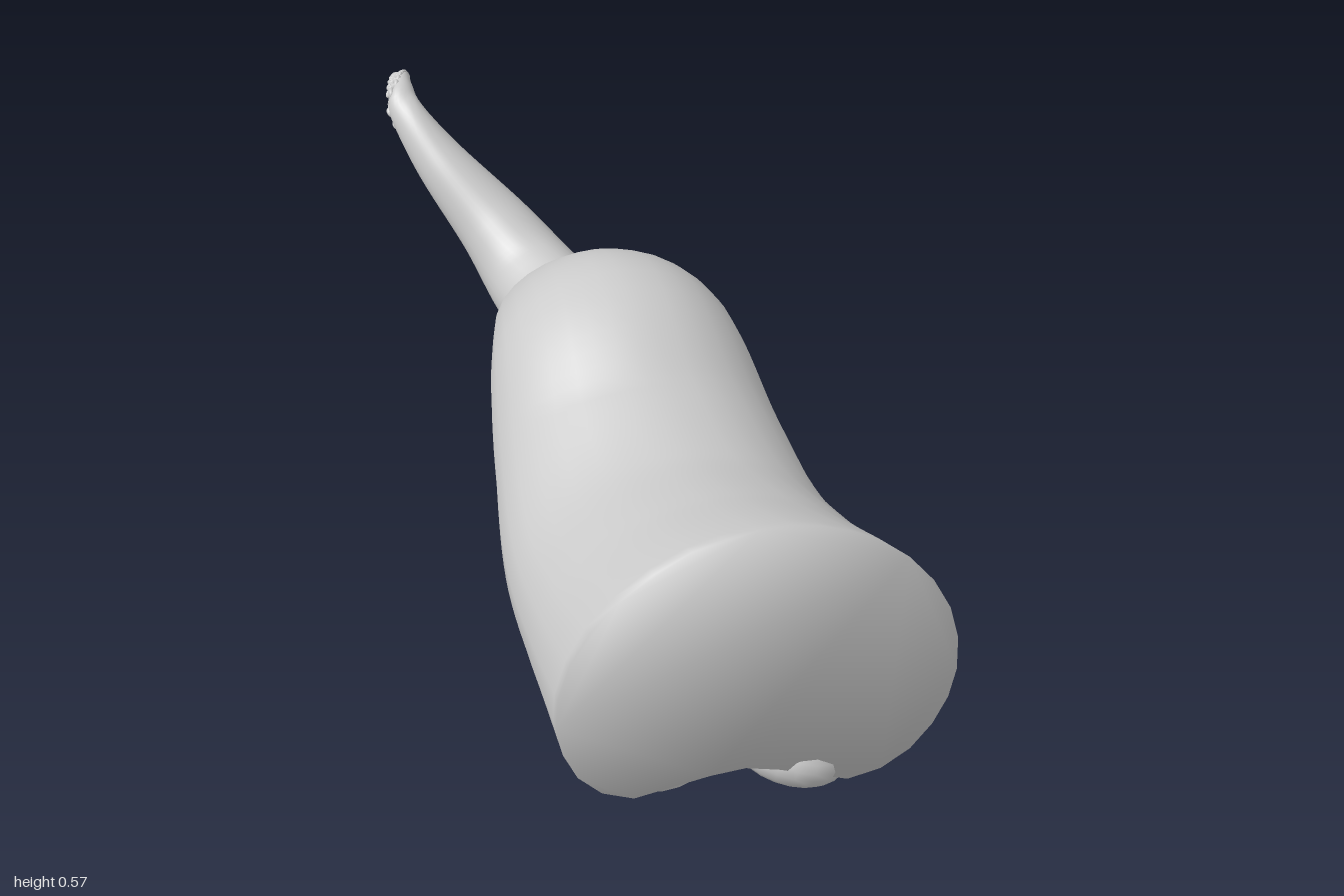
import * as THREE from 'three';

// spine stations: x, y, z, half width, half height, direction the suckers face
const STATIONS = [
  [0.002, 0.293, 1, 0.335, 0.252, -0.13, -1, 0],
  [-0.008, 0.264, 0.8, 0.312, 0.203, -0.1, -1, 0],
  [-0.015, 0.259, 0.6, 0.285, 0.174, -0.05, -1, 0],
  [-0.008, 0.322, 0.4, 0.252, 0.16, 0, -1, 0],
  [0.007, 0.41, 0.2, 0.219, 0.148, 0, -1, 0],
  [0.027, 0.355, 0, 0.177, 0.102, 0, -1, 0],
  [0.067, 0.2, -0.2, 0.137, 0.097, 0, -1, 0],
  [0.095, 0.125, -0.35, 0.11, 0.088, 0, -1, -0.1],
  [0.065, 0.14, -0.5, 0.095, 0.077, 0.1, -0.9, -0.4],
  [0.012, 0.21, -0.6, 0.075, 0.058, 0.2, -0.72, -0.65],
  [-0.07, 0.315, -0.7, 0.052, 0.042, 0.1, -0.6, -0.8],
  [-0.116, 0.395, -0.78, 0.034, 0.031, -0.45, -0.2, -0.8],
  [-0.116, 0.417, -0.83, 0.026, 0.023, -0.75, 0.55, -0.2],
  [-0.1, 0.407, -0.9, 0.017, 0.015, -0.3, 1, 0.1],
  [-0.06, 0.355, -1, 0.002, 0.002, -0.2, 1, 0.1],
];
const track = (pick) => new THREE.CatmullRomCurve3(
  STATIONS.map((s) => new THREE.Vector3(...pick(s))), false, 'catmullrom', 0.5);
const spine = track((s) => s.slice(0, 3));
const sizes = track((s) => [s[3], s[4], 0]);
const facing = track((s) => s.slice(5, 8));
const BACK = new THREE.Vector3(0, 0, -1);

// position, size and axes of the arm at t; the cut end stays upright
function frame(t) {
  const T = BACK.clone().lerp(spine.getTangent(t), Math.min(1, t / 0.12)).normalize();
  const N = facing.getPoint(t);
  N.addScaledVector(T, -N.dot(T)).normalize();
  const S = new THREE.Vector3().crossVectors(N, T); // sideways axis
  const r = sizes.getPoint(t);
  return { P: spine.getPoint(t), N, S, rx: r.x, ry: r.y };
}

// kidney-shaped cross-section, clockwise from the top
function section(count) {
  const half = [[0.25, 0.95], [0.49, 0.83], [0.75, 0.56], [0.93, 0.21], [1, -0.18],
    [0.96, -0.52], [0.82, -0.82], [0.58, -0.99], [0.28, -0.9]];
  const pts = [[0, 1], ...half, [0, -0.83], ...half.map(([x, y]) => [-x, y]).reverse()];
  const loop = new THREE.CatmullRomCurve3(
    pts.map(([x, y]) => new THREE.Vector3(x, y, 0)), true);
  return Array.from({ length: count }, (_, j) => loop.getPoint(j / count));
}

function armGeometry(rings = 112, sides = 32) {
  const profile = section(sides);
  const pos = [], index = [];
  for (let i = 0; i <= rings; i++) {
    const { P, N, S, rx, ry } = frame(i / rings);
    for (const p of profile) {
      const v = P.clone().addScaledVector(S, rx * p.x).addScaledVector(N, -ry * p.y);
      pos.push(v.x, v.y, v.z);
    }
  }
  const tip = spine.getPoint(1);
  pos.push(tip.x, tip.y, tip.z);
  for (let j = 0; j < sides; j++) {
    const k = (j + 1) % sides;
    for (let i = 0; i < rings; i++) {
      const a = i * sides + j, b = i * sides + k;
      index.push(a, b, a + sides, b, b + sides, a + sides);
    }
    index.push(pos.length / 3 - 1, rings * sides + j, rings * sides + k);
  }
  // flat cut end, sharing the rim so its shading runs softly into the sides
  const rim = profile.map((p) => new THREE.Vector2(p.x, p.y));
  for (const [a, b, c] of THREE.ShapeUtils.triangulateShape(rim, [])) {
    const turn = (rim[b].x - rim[a].x) * (rim[c].y - rim[a].y)
      - (rim[b].y - rim[a].y) * (rim[c].x - rim[a].x);
    index.push(a, ...(turn > 0 ? [b, c] : [c, b]));
  }
  const g = new THREE.BufferGeometry();
  g.setAttribute('position', new THREE.Float32BufferAttribute(pos, 3));
  g.setIndex(index);
  g.computeVertexNormals();
  const { N, S } = frame(0);
  profile.forEach((p, j) => {
    const n = new THREE.Vector3(0, 0, 0.8).addScaledVector(S, p.x).addScaledVector(N, -p.y);
    g.attributes.normal.setXYZ(j, ...n.normalize());
  });
  return g;
}

// rounded cup with a dimple, radius 1, opening along +y
function suckerGeometry() {
  const edge = new THREE.SplineCurve([[0.75, -0.4], [0.96, -0.12], [1, 0.15], [0.86, 0.4],
    [0.58, 0.5], [0.3, 0.4], [0.13, 0.18], [0, 0.08]].map((p) => new THREE.Vector2(...p)));
  const pts = edge.getPoints(13);
  pts[13].x = 0;
  return new THREE.LatheGeometry(pts, 20);
}

export function createModel() {
  const model = new THREE.Group();
  model.name = 'tentacle';
  const skin = new THREE.MeshStandardMaterial({ color: 0xcccccc });

  const arm = new THREE.Mesh(armGeometry(), skin);
  arm.name = 'arm';
  model.add(arm);

  // two rows of suckers shrinking towards the tip, tilted in to the groove
  const cup = suckerGeometry();
  const up = new THREE.Vector3(0, 1, 0);
  for (const side of [1, -1]) {
    const row = new THREE.Group();
    row.name = side > 0 ? 'leftSuckerRow' : 'rightSuckerRow';
    let gap = side > 0 ? 0.1 : 0.13;
    let prev = spine.getPoint(0);
    for (let t = 0; t < 0.985; t += 0.0005) {
      const here = spine.getPoint(t);
      gap -= here.distanceTo(prev);
      prev = here;
      if (gap > 0) continue;
      const { P, N, S, rx, ry } = frame(t);
      const r = 0.3 * rx + 0.003;
      const sucker = new THREE.Mesh(cup, skin);
      sucker.name = 'sucker';
      sucker.position.copy(P).addScaledVector(S, side * 0.36 * rx).addScaledVector(N, ry * 0.94);
      const dir = N.clone().addScaledVector(S, side * -0.16).normalize();
      sucker.quaternion.setFromUnitVectors(up, dir);
      sucker.scale.setScalar(r);
      row.add(sucker);
      gap = r * 1.55;
    }
    model.add(row);
  }

  // rest on the ground
  const lift = -new THREE.Box3().setFromObject(model, true).min.y;
  model.children.forEach((part) => { part.position.y += lift; });
  return model;
}
